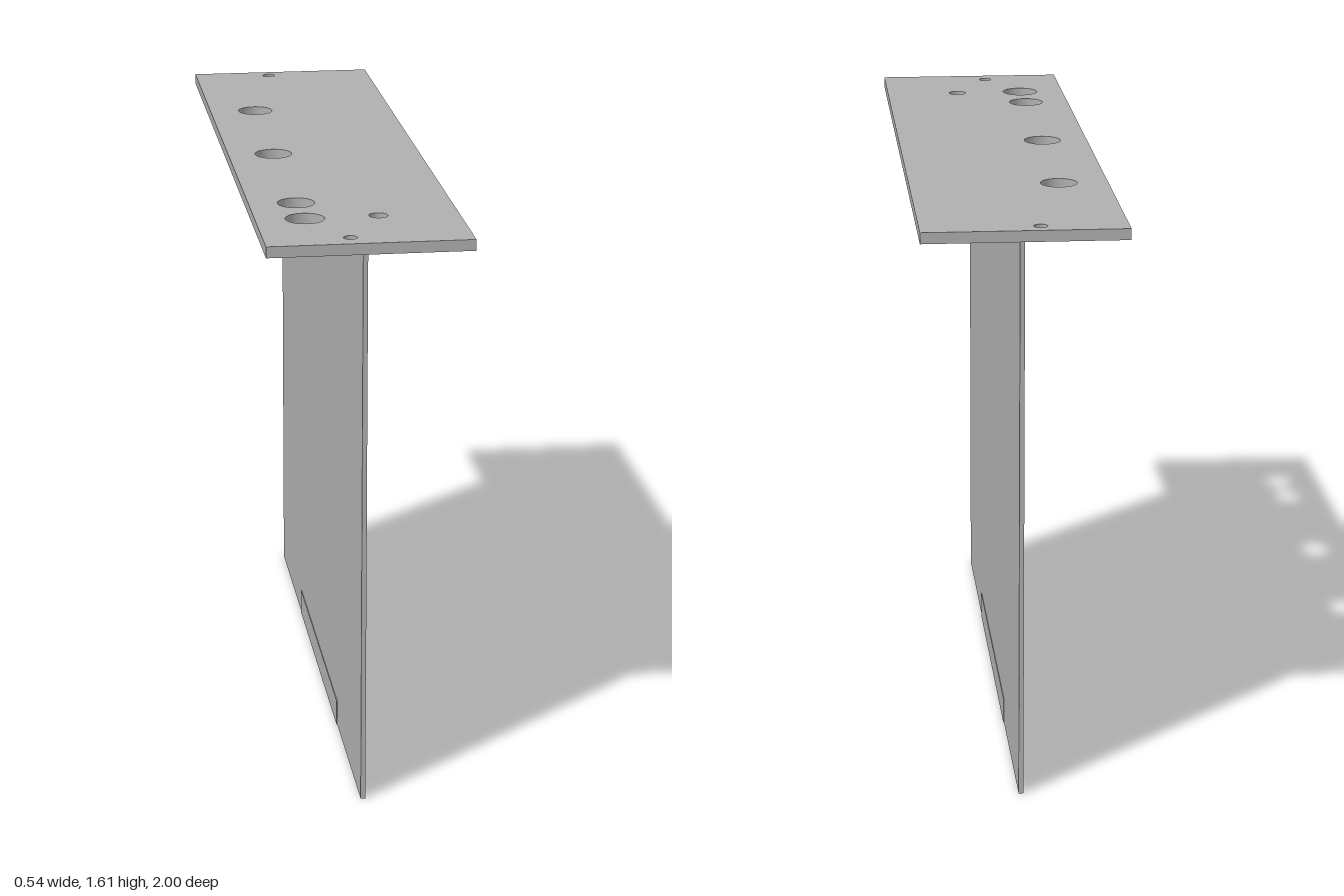
import * as THREE from 'three';

export function createModel() {
  const group = new THREE.Group();
  const metal = new THREE.MeshStandardMaterial({ color: 0xb0b0b0 });
  metal.name = 'plain grey metal';

  const add = (name, geometry) => {
    const mesh = new THREE.Mesh(geometry, metal);
    mesh.name = name;
    group.add(mesh);
  };

  // Box given by its extents on each axis
  const block = (name, [x0, x1], [y0, y1], [z0, z1]) => {
    const g = new THREE.BoxGeometry(x1 - x0, y1 - y0, z1 - z0);
    g.translate((x0 + x1) / 2, (y0 + y1) / 2, (z0 + z1) / 2);
    add(name, g);
  };

  // Top plate with through holes: [x, z, radius]
  const holes = [
    [-0.136, -0.483, 0.05],
    [-0.142, 0.048, 0.052],
    [-0.143, 0.585, 0.05],
    [-0.139, 0.744, 0.052],
    [0.056, 0.738, 0.025],
    [-0.042, -0.953, 0.018],
    [-0.046, 0.94, 0.018],
  ];
  const outline = new THREE.Shape();
  outline.moveTo(-0.27, -1).lineTo(0.27, -1).lineTo(0.27, 1).lineTo(-0.27, 1).closePath();
  for (const [x, z, r] of holes) {
    outline.holes.push(new THREE.Path().absarc(x, -z, r, 0, Math.PI * 2, true));
  }
  const plate = new THREE.ExtrudeGeometry(outline, { depth: 0.03, bevelEnabled: false, curveSegments: 32 });
  plate.rotateX(-Math.PI / 2);
  plate.translate(0, 1.58, 0);
  add('topPlate', plate);

  // Hanging sheet, folded over to one side under the plate
  block('hangingSheet', [-0.007, 0.006], [0, 1.58], [-0.9, 0.9]);
  block('foldedFlange', [0.006, 0.12], [1.566, 1.58], [-0.9, 0.9]);

  // Thin band around the middle of the lower edge
  block('lowerEdgeBand', [-0.009, 0.008], [0, 0.075], [-0.42, 0.42]);

  return group;
}
